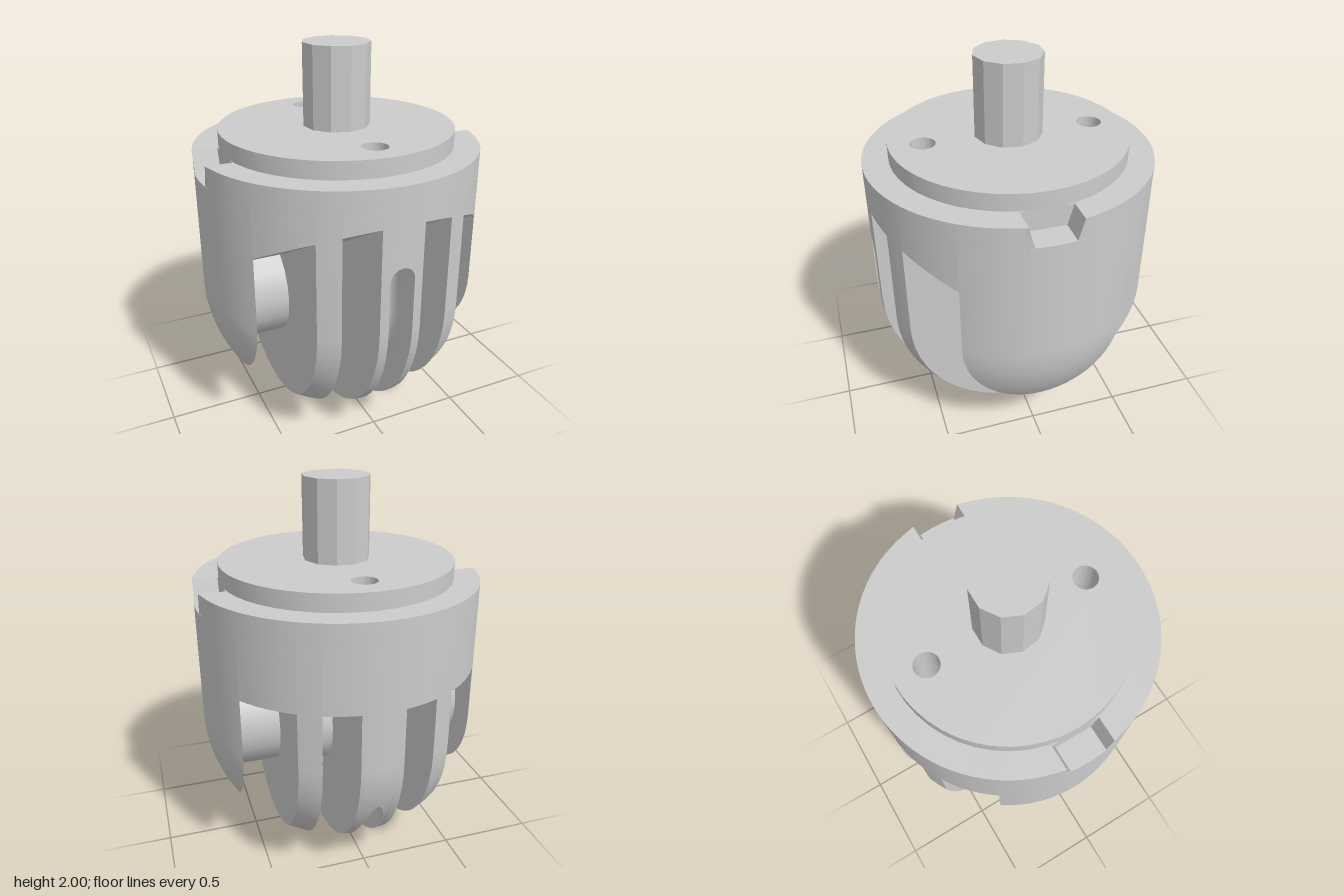
import * as THREE from 'three';
import { toCreasedNormals } from 'three/addons/utils/BufferGeometryUtils.js';

const R = 0.745, CY = 0.745;      // body radius and dome centre height
const DECK = 1.38;                // top of the slotted body
const GROOVE = 0.065, HOLE_Z = 0.44;
const material = new THREE.MeshStandardMaterial({ color: 0xcccccc });

const radiusAt = (x) => Math.sqrt(Math.max(R * R - x * x, 1e-6));

// Points [z, y] on an arc; the angle is measured from straight down towards +z
function arc(r, from, to, n) {
  return Array.from({ length: n + 1 }, (_, i) => {
    const a = from + (to - from) * i / n;
    return [r * Math.sin(a), CY - r * Math.cos(a)];
  });
}

// Solid through side profiles placed along x, closed by flat ends
function loft(xs, profileAt) {
  const sections = xs.map((x) => profileAt(x).map(([z, y]) => new THREE.Vector2(-z, y)));
  if (THREE.ShapeUtils.isClockWise(sections[xs.length >> 1])) sections.forEach((s) => s.reverse());
  const n = sections[0].length, pos = [], index = [];
  sections.forEach((s, i) => s.forEach((p) => pos.push(xs[i], p.y, -p.x)));
  for (let i = 0; i < xs.length - 1; i++) {
    for (let j = 0; j < n; j++) {
      const a = i * n + j, b = i * n + (j + 1) % n;
      index.push(a, b, b + n, a, b + n, a + n);
    }
  }
  const last = (xs.length - 1) * n;
  for (const [a, b, c] of THREE.ShapeUtils.triangulateShape(sections[0], [])) index.push(a, c, b);
  for (const [a, b, c] of THREE.ShapeUtils.triangulateShape(sections[xs.length - 1], [])) {
    index.push(last + a, last + b, last + c);
  }
  const g = new THREE.BufferGeometry();
  g.setAttribute('position', new THREE.Float32BufferAttribute(pos, 3));
  g.setIndex(index);
  return toCreasedNormals(g, 0.5);
}

// Evenly turned steps around the body between two x positions
function steps(x0, x1) {
  const a = Math.asin(x0 / R), b = Math.asin(x1 / R);
  const n = Math.max(2, Math.ceil((b - a) / 0.08));
  return Array.from({ length: n + 1 }, (_, i) => R * Math.sin(a + (b - a) * i / n));
}

// Full side profile with round bottom
function plateProfile(x) {
  const r = radiusAt(x);
  return [[-r, DECK], ...arc(r, -Math.PI / 2, Math.PI / 2, 28), [r, DECK]];
}

// Body above a slot: flat ceiling behind, sloping up to the front
function ceilingProfile(x) {
  const r = radiusAt(x);
  return [[-r, DECK], [-r, 1.04], [0.29, 1.04], [r, 1.04 + 0.57 * (r - 0.29)], [r, DECK]];
}

// Core of the middle plate: three pieces parted by the two cord holes
const halfWidth = (x) => Math.sqrt(Math.max(GROOVE * GROOVE - x * x, 0));
const holeAngle = (h) => Math.asin((HOLE_Z + h) / (0.61 - h));
const coreProfiles = {
  coreMiddle(x) {
    const h = halfWidth(x), f = 0.61 - h, a = Math.asin((HOLE_Z - h) / f);
    return [[-(HOLE_Z - h), DECK], ...arc(f, -a, a, 16), [HOLE_Z - h, DECK]];
  },
  coreFront(x) {
    const h = halfWidth(x), f = 0.61 - h, r = radiusAt(x), top = 1.02 + h;
    return [[HOLE_Z + h, DECK], ...arc(f, holeAngle(h), Math.PI / 2, 8), [f, top], [r, top], [r, DECK]];
  },
  coreBack(x) {
    const h = halfWidth(x), a = holeAngle(h);
    return [[-HOLE_Z - h, DECK], ...arc(0.61 - h, -a, -a - 0.04, 1),
      ...arc(radiusAt(x), -a - 0.04, -Math.PI / 2, 8), [-radiusAt(x), DECK]];
  },
};

// Flat plate with the two cord holes, standing on y
function drilledPlate(shape, y, height) {
  for (const s of [-1, 1]) {
    shape.holes.push(new THREE.Path().absarc(0, s * HOLE_Z, GROOVE, 0, Math.PI * 2, true));
  }
  const g = new THREE.ExtrudeGeometry(shape, { depth: height, bevelEnabled: false, curveSegments: 24 });
  return g.rotateX(-Math.PI / 2).translate(0, y, 0);
}

export function createModel() {
  const model = new THREE.Group();
  const add = (name, geometry) => {
    const mesh = new THREE.Mesh(geometry, material);
    mesh.name = name;
    model.add(mesh);
    return mesh;
  };

  // Cheeks, plates and slot ceilings, mirrored
  const slabs = [
    ['middlePlateSide', GROOVE, 0.11, plateProfile],
    ['innerSlotCeiling', 0.11, 0.285, ceilingProfile],
    ['sidePlate', 0.285, 0.39, plateProfile],
    ['outerSlotCeiling', 0.39, 0.615, ceilingProfile],
    ['cheek', 0.615, R - 0.0005, plateProfile],
  ];
  for (const [name, x0, x1, profile] of slabs) {
    const xs = steps(x0, x1);
    add(name + 'Left', loft(xs, profile));
    add(name + 'Right', loft(xs.map((x) => -x).reverse(), profile));
  }

  // Grooved core of the middle plate
  const coreXs = Array.from({ length: 9 }, (_, i) => GROOVE * Math.sin((i / 8 - 0.5) * Math.PI));
  for (const [name, profile] of Object.entries(coreProfiles)) add(name, loft(coreXs, profile));

  // Rim with a flared notch on each side
  const notch = 0.115, a = Math.asin(notch / R);
  const rimShape = new THREE.Shape();
  rimShape.absarc(0, 0, R, a, Math.PI - a, false);
  rimShape.lineTo(-0.605, notch);
  rimShape.lineTo(-0.605, -notch);
  rimShape.absarc(0, 0, R, Math.PI + a, Math.PI * 2 - a, false);
  rimShape.lineTo(0.605, -notch);
  rimShape.lineTo(0.605, notch);
  const rim = drilledPlate(rimShape, DECK, 0.11);
  const p = rim.attributes.position;
  for (let i = 0; i < p.count; i++) {
    if (Math.abs(p.getX(i)) > 0.6 && Math.abs(p.getZ(i)) < notch + 0.001) {
      p.setZ(i, Math.sign(p.getZ(i)) * (p.getY(i) > DECK + 0.05 ? 0.13 : 0.1));
    }
  }
  add('rim', toCreasedNormals(rim, 0.5));

  // Raised lid and shaft
  const lidShape = new THREE.Shape().absarc(0, 0, 0.612, 0, Math.PI * 2, false);
  add('lid', toCreasedNormals(drilledPlate(lidShape, 1.49, 0.09), 0.5));
  const shaft = new THREE.CylinderGeometry(0.175, 0.175, 0.44, 11);
  add('shaft', toCreasedNormals(shaft, 0.4)).position.y = 1.78;

  // Cross axle with thicker hubs in the inner slots
  const axle = new THREE.CylinderGeometry(0.27, 0.27, 1.25, 20).rotateZ(Math.PI / 2);
  add('axle', toCreasedNormals(axle, 0.5)).position.y = CY;
  for (const s of [-1, 1]) {
    const hub = new THREE.CylinderGeometry(0.29, 0.29, 0.19, 20).rotateZ(Math.PI / 2);
    add('hub', toCreasedNormals(hub, 0.5)).position.set(s * 0.197, 0.725, 0);
    add('hubFoot', new THREE.BoxGeometry(0.19, 0.2, 0.2)).position.set(s * 0.197, 0.5, 0);
  }
  return model;
}
